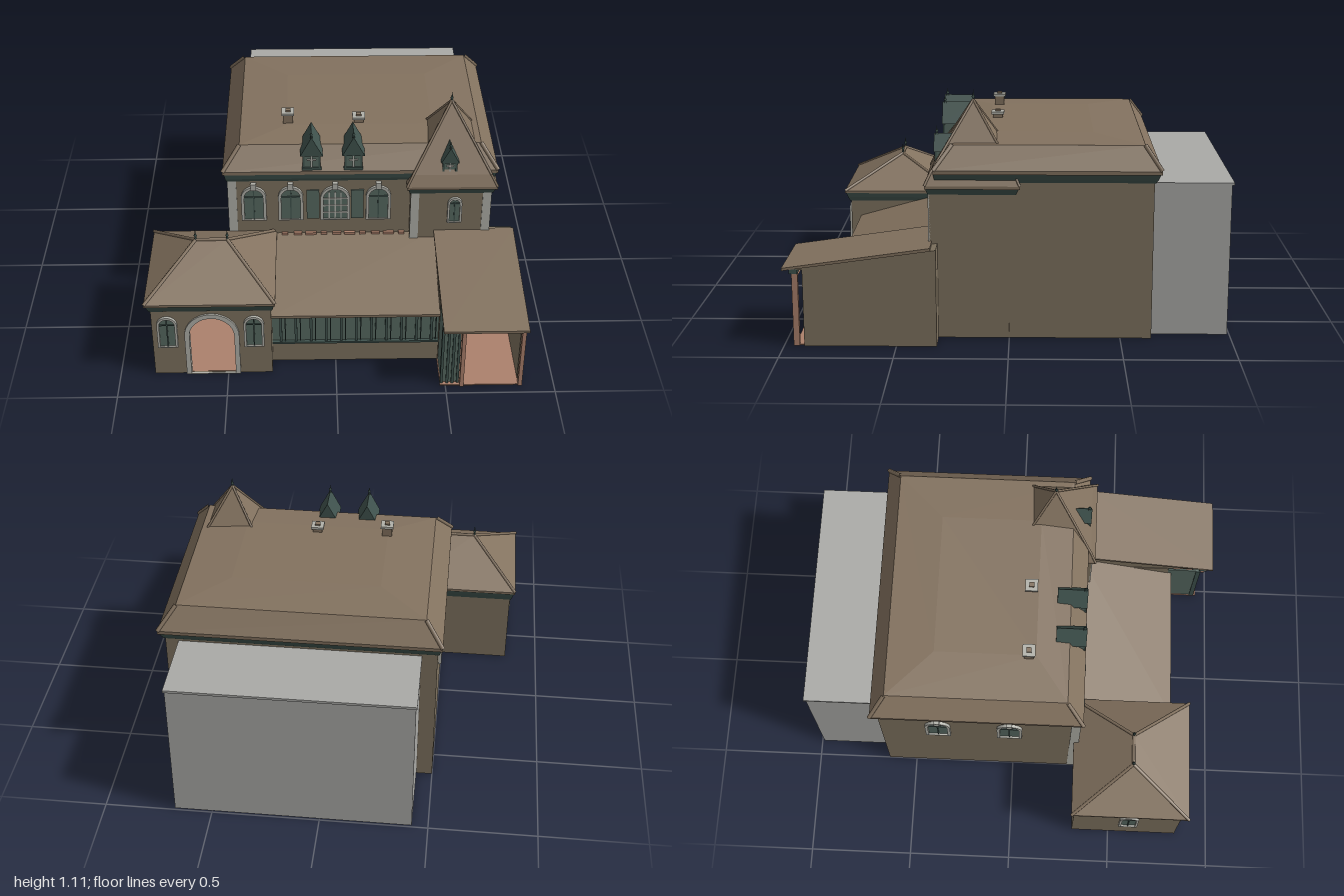
import * as THREE from 'three';

const mat = (name, color) => new THREE.MeshStandardMaterial({ name, color });

export function createModel() {
  const wall = mat('wall plaster', 0x7e725f);
  const roof = mat('roof tile', 0x83725f);
  const trim = mat('dark green trim', 0x40534e);
  const glass = mat('green glass', 0x586a62);
  const stone = mat('pale stone', 0xb2b2aa);
  const grey = mat('grey render', 0xaaaaa7);
  const clay = mat('clay', 0xac816c);
  const model = new THREE.Group();
  model.name = 'house';

  const add = (name, geo, m, parent = model) => {
    const mesh = new THREE.Mesh(geo, m);
    mesh.name = name;
    parent.add(mesh);
    return mesh;
  };
  // box given by its limits on each axis
  const box = (name, m, x0, x1, y0, y1, z0, z1, parent) => {
    const b = add(name, new THREE.BoxGeometry(x1 - x0, y1 - y0, z1 - z0), m, parent);
    b.position.set((x0 + x1) / 2, (y0 + y1) / 2, (z0 + z1) / 2);
    return b;
  };
  const corners = ([y, x0, x1, z0, z1]) => [[x0, y, z1], [x1, y, z1], [x1, y, z0], [x0, y, z0]];
  // closed solid through stacked rectangles [y, x0, x1, z0, z1]
  const loft = (name, m, rings, parent) => {
    const pos = [];
    const quad = (a, b, c, d) => pos.push(...a, ...b, ...c, ...a, ...c, ...d);
    const rs = rings.map(corners);
    for (let k = 0; k < rs.length - 1; k++)
      for (let i = 0; i < 4; i++) {
        const j = (i + 1) % 4;
        quad(rs[k][i], rs[k][j], rs[k + 1][j], rs[k + 1][i]);
      }
    quad(...rs[rs.length - 1]);
    quad(...rs[0].slice().reverse());
    const g = new THREE.BufferGeometry();
    g.setAttribute('position', new THREE.Float32BufferAttribute(pos, 3));
    g.computeVertexNormals();
    return add(name, g, m, parent);
  };
  const rod = (name, m, a, b, r, parent) => {
    const path = new THREE.LineCurve3(new THREE.Vector3(...a), new THREE.Vector3(...b));
    return add(name, new THREE.TubeGeometry(path, 1, r, 6), m, parent);
  };
  // caps along the hips between two rings
  const hips = (lo, hi, r) => {
    const a = corners(lo), b = corners(hi);
    a.forEach((p, i) => rod('hipCap', roof, p, b[i], r));
  };
  // prism with a [z, y] side profile running from x0 to x1
  const prism = (name, m, pts, x0, x1, parent) => {
    const s = new THREE.Shape(pts.map(([z, y]) => new THREE.Vector2(-z, y)));
    const g = new THREE.ExtrudeGeometry(s, { depth: x1 - x0, bevelEnabled: false });
    g.rotateY(Math.PI / 2).translate(x0, 0, 0);
    return add(name, g, m, parent);
  };
  const finial = (x, y, z, h) => {
    const pts = [[0.007, 0], [0.004, 0.25], [0.008, 0.4], [0.003, 0.55], [0, 1]];
    const f = add('finial', new THREE.LatheGeometry(pts.map(([r, t]) => new THREE.Vector2(r, t * h)), 8), trim);
    f.position.set(x, y, z);
  };
  // round-topped outline standing on y0
  const arch = (Type, w, h, x = 0, y0 = 0) => {
    const s = new Type(), r = w / 2;
    s.moveTo(x - r, y0);
    s.lineTo(x + r, y0);
    s.lineTo(x + r, y0 + h - r);
    s.absarc(x, y0 + h - r, r, 0, Math.PI, false);
    s.lineTo(x - r, y0);
    return s;
  };
  const extrude = (shape, depth) => new THREE.ExtrudeGeometry(shape, { depth, bevelEnabled: false, curveSegments: 12 });
  const archWindow = (x, y, z, w, h, { turn = 0, t = 0.014, bars = trim, rows = 1, cols = 1, key = true } = {}) => {
    const g = new THREE.Group();
    g.name = 'archedWindow';
    const ring = arch(THREE.Shape, w, h);
    ring.holes.push(arch(THREE.Path, w - 2 * t, h - t - 0.004, 0, 0.004));
    add('windowFrame', extrude(ring, 0.014), stone, g);
    add('windowPane', extrude(arch(THREE.Shape, w - t, h - t / 2), 0.004), glass, g);
    const iw = w - 2 * t;
    for (let i = 1; i <= cols; i++) {
      const bx = -iw / 2 + (i * iw) / (cols + 1);
      box('glazingBar', bars, bx - 0.003, bx + 0.003, 0, h - t - (cols > 1 ? 0.02 : 0), 0.003, 0.009, g);
    }
    for (let i = 1; i <= rows; i++) {
      const by = (i * (h - w / 2)) / rows;
      box('glazingBar', bars, -iw / 2, iw / 2, by - 0.003, by + 0.003, 0.003, 0.009, g);
    }
    if (key) box('keystone', stone, -0.013, 0.013, h - 0.012, h + 0.022, 0, 0.02, g);
    g.position.set(x, y, z);
    g.rotation.y = turn;
    model.add(g);
  };

  // rear block, running through under the main house
  box('rearBlock', grey, -0.425, 0.675, 0, 0.7, -0.99, 0.3);
  box('rearBlockRoof', grey, -0.43, 0.68, 0.7, 0.712, -1, -0.6);

  // main house
  box('mainBody', wall, -0.5, 0.74, 0.003, 0.74, -0.64, 0.32);
  box('cornerStrip', stone, -0.502, -0.46, 0.003, 0.735, 0.28, 0.325);
  loft('mainCornice', trim, [[0.725, -0.505, 0.745, -0.645, 0.325], [0.74, -0.51, 0.752, -0.655, 0.33], [0.765, -0.515, 0.76, -0.665, 0.334]]);
  const eave = [0.765, -0.522, 0.767, -0.672, 0.335], lip = [0.782, -0.522, 0.767, -0.672, 0.335];
  const brow = [0.883, -0.442, 0.69, -0.6, 0.255];
  loft('mainRoof', roof, [eave, lip, brow, [0.897, -0.22, 0.47, -0.38, 0.1]]);
  hips(lip, brow, 0.01);

  // upper windows and shutters
  for (const x of [-0.38, -0.205, 0.21]) archWindow(x, 0.505, 0.32, 0.118, 0.188);
  archWindow(0.005, 0.505, 0.32, 0.14, 0.188, { bars: stone, rows: 3, cols: 3 });
  for (const x of [-0.1, 0.11]) box('shutter', glass, x - 0.03, x + 0.03, 0.51, 0.67, 0.32, 0.328);
  for (const z of [-0.36, -0.015]) archWindow(-0.5, 0.5, z, 0.12, 0.19, { turn: -Math.PI / 2 });

  // corner tower
  box('towerBody', wall, 0.36, 0.741, 0.003, 0.7, 0, 0.355);
  box('cornerStrip', stone, 0.36, 0.4, 0.4, 0.685, 0.35, 0.36);
  box('cornerStrip', stone, 0.7, 0.741, 0.003, 0.685, 0.35, 0.36);
  archWindow(0.57, 0.505, 0.355, 0.068, 0.14, { key: false, t: 0.01 });
  loft('towerCornice', trim, [[0.67, 0.355, 0.746, -0.03, 0.36], [0.7, 0.345, 0.76, -0.043, 0.37]]);
  const tEave = [0.712, 0.34, 0.765, -0.047, 0.374], tMid = [0.765, 0.368, 0.735, -0.02, 0.348];
  const tTop = [1.06, 0.551, 0.553, 0.163, 0.165];
  loft('towerRoof', roof, [[0.698, 0.34, 0.765, -0.047, 0.374], tEave, tMid, tTop]);
  hips(tEave, tMid, 0.006);
  hips(tMid, tTop, 0.006);
  finial(0.552, 1.05, 0.164, 0.06);

  // gabled dormers
  const dormer = (x, y, front, back, w, h, top) => {
    const g = new THREE.Group();
    g.name = 'dormer';
    box('dormerBody', glass, -w / 2, w / 2, 0, h, back, front, g);
    const gable = new THREE.Shape([[-w * 0.64, h - 0.015], [w * 0.64, h - 0.015], [0, top]].map((p) => new THREE.Vector2(...p)));
    const roofMesh = add('dormerRoof', extrude(gable, front - back + 0.008), trim, g);
    roofMesh.position.z = back;
    box('dormerSill', trim, -w * 0.55, w * 0.55, -0.008, 0.006, back, front + 0.006, g);
    for (const s of [-1, 1]) box('dormerPost', trim, s * w * 0.45 - 0.005, s * w * 0.45 + 0.005, 0, h, front - 0.004, front + 0.005, g);
    box('dormerCrossUpright', stone, -0.004, 0.004, 0.008, h * 0.85, front, front + 0.006, g);
    box('dormerCrossBar', stone, -w * 0.26, w * 0.26, h * 0.5, h * 0.5 + 0.007, front, front + 0.006, g);
    g.position.set(x, y, 0);
    model.add(g);
    finial(x, y + top - 0.006, front - 0.005, 0.04);
  };
  for (const x of [-0.105, 0.09]) dormer(x, 0.795, 0.325, 0.19, 0.082, 0.085, 0.17);
  dormer(0.54, 0.77, 0.335, 0.2, 0.066, 0.07, 0.135);

  // chimneys
  for (const [x, top] of [[-0.215, 0.955], [0.122, 0.93]]) {
    box('chimney', roof, x - 0.023, x + 0.023, 0.87, top - 0.012, 0.042, 0.088);
    box('chimneyCap', stone, x - 0.03, x + 0.03, top - 0.015, top - 0.003, 0.035, 0.095);
    box('chimneyPot', roof, x - 0.012, x + 0.012, top - 0.003, top + 0.005, 0.053, 0.077);
  }

  // clay floor of the front wing
  box('pavilionFloor', clay, -0.835, -0.3, 0, 0.006, 0.32, 0.835);
  box('galleryFloor', clay, -0.3, 0.475, 0, 0.006, 0.32, 0.755);
  box('porchFloor', clay, 0.475, 0.845, 0, 0.006, 0.32, 0.95);

  // left pavilion
  const front = new THREE.Shape([[-0.84, 0], [-0.295, 0], [-0.295, 0.38], [-0.84, 0.38]].map((p) => new THREE.Vector2(...p)));
  front.holes.push(arch(THREE.Path, 0.21, 0.33, -0.568, 0.004));
  add('pavilionFrontWall', extrude(front, 0.03), wall).position.z = 0.81;
  box('pavilionLeftWall', wall, -0.84, -0.82, 0, 0.38, 0.32, 0.812);
  box('pavilionRightWall', wall, -0.315, -0.295, 0, 0.38, 0.32, 0.812);
  box('pavilionBackWall', wall, -0.84, -0.295, 0, 0.38, 0.315, 0.335);
  box('pavilionCeiling', clay, -0.82, -0.315, 0.34, 0.36, 0.335, 0.81);
  const surround = arch(THREE.Shape, 0.25, 0.352, -0.568);
  surround.holes.push(arch(THREE.Path, 0.205, 0.326, -0.568, 0.003));
  add('archSurround', extrude(surround, 0.045), stone).position.z = 0.804;
  for (const x of [-0.77, -0.375]) archWindow(x, 0.165, 0.84, 0.092, 0.173, { key: false, t: 0.011 });
  archWindow(-0.84, 0.165, 0.59, 0.092, 0.173, { turn: -Math.PI / 2, key: false, t: 0.011 });
  loft('pavilionCornice', trim, [[0.37, -0.845, -0.29, 0.315, 0.845], [0.39, -0.852, -0.285, 0.31, 0.855], [0.415, -0.86, -0.28, 0.305, 0.865]]);
  const pEave = [0.425, -0.865, -0.275, 0.3, 0.87], pRidge = [0.58, -0.64, -0.495, 0.585, 0.586];
  loft('pavilionRoof', roof, [[0.413, -0.865, -0.275, 0.3, 0.87], pEave, pRidge]);
  hips(pEave, pRidge, 0.008);
  rod('ridgeCap', roof, [-0.64, 0.58, 0.585], [-0.495, 0.58, 0.585], 0.008);
  for (const x of [-0.64, -0.495]) finial(x, 0.58, 0.585, 0.06);

  // glazed gallery with a lean-to roof
  box('galleryBaseWall', wall, -0.295, 0.48, 0, 0.105, 0.735, 0.76);
  box('gallerySill', trim, -0.295, 0.48, 0.105, 0.115, 0.73, 0.766);
  box('galleryGlass', glass, -0.295, 0.48, 0.115, 0.285, 0.742, 0.75);
  for (let i = 0; i < 11; i++) {
    const x = -0.255 + i * 0.07;
    box('galleryMullion', trim, x - 0.006, x + 0.006, 0.115, 0.285, 0.738, 0.76);
    box('galleryShutterEdge', trim, x + 0.018, x + 0.023, 0.115, 0.27, 0.748, 0.756);
  }
  prism('galleryRoof', roof, [[0.79, 0.277], [0.79, 0.29], [0.32, 0.422], [0.32, 0.4]], -0.295, 0.48);
  for (let i = 0; i < 10; i++) {
    const x = -0.235 + i * 0.062, w = 0.014 + (i % 3) * 0.006;
    box('ridgeTile', clay, x - w, x + w, 0.416, 0.43, 0.32, 0.334);
  }

  // right porch
  box('porchRightWall', wall, 0.835, 0.852, 0, 0.357, 0.32, 0.91);
  box('porchInnerWall', wall, 0.74, 0.84, 0, 0.35, 0.32, 0.335);
  box('porchLeftWall', wall, 0.478, 0.49, 0, 0.35, 0.34, 0.77);
  box('porchSideGlass', glass, 0.48, 0.488, 0.006, 0.33, 0.77, 0.93);
  box('porchScreen', glass, 0.485, 0.56, 0.006, 0.325, 0.922, 0.93);
  for (const x of [0.482, 0.508, 0.532, 0.556]) box('porchScreenPost', trim, x - 0.006, x + 0.006, 0.004, 0.33, 0.915, 0.938);
  for (const x of [0.574, 0.843]) box('porchPost', clay, x - 0.009, x + 0.009, 0, 0.335, 0.93, 0.957);
  box('porchLintel', clay, 0.48, 0.852, 0.315, 0.338, 0.935, 0.957);
  box('porchFascia', trim, 0.478, 0.856, 0.336, 0.356, 0.93, 0.968);
  prism('porchGable', wall, [[0.96, 0.352], [0.96, 0.358], [0.32, 0.445], [0.32, 0.352]], 0.48, 0.852);
  prism('porchRoof', roof, [[1, 0.35], [1, 0.362], [0.345, 0.456], [0.345, 0.442]], 0.475, 0.858);
  archWindow(0.647, 0.006, 0.356, 0.155, 0.3, { key: false, t: 0.018, rows: 0, cols: 1 });

  return model;
}
